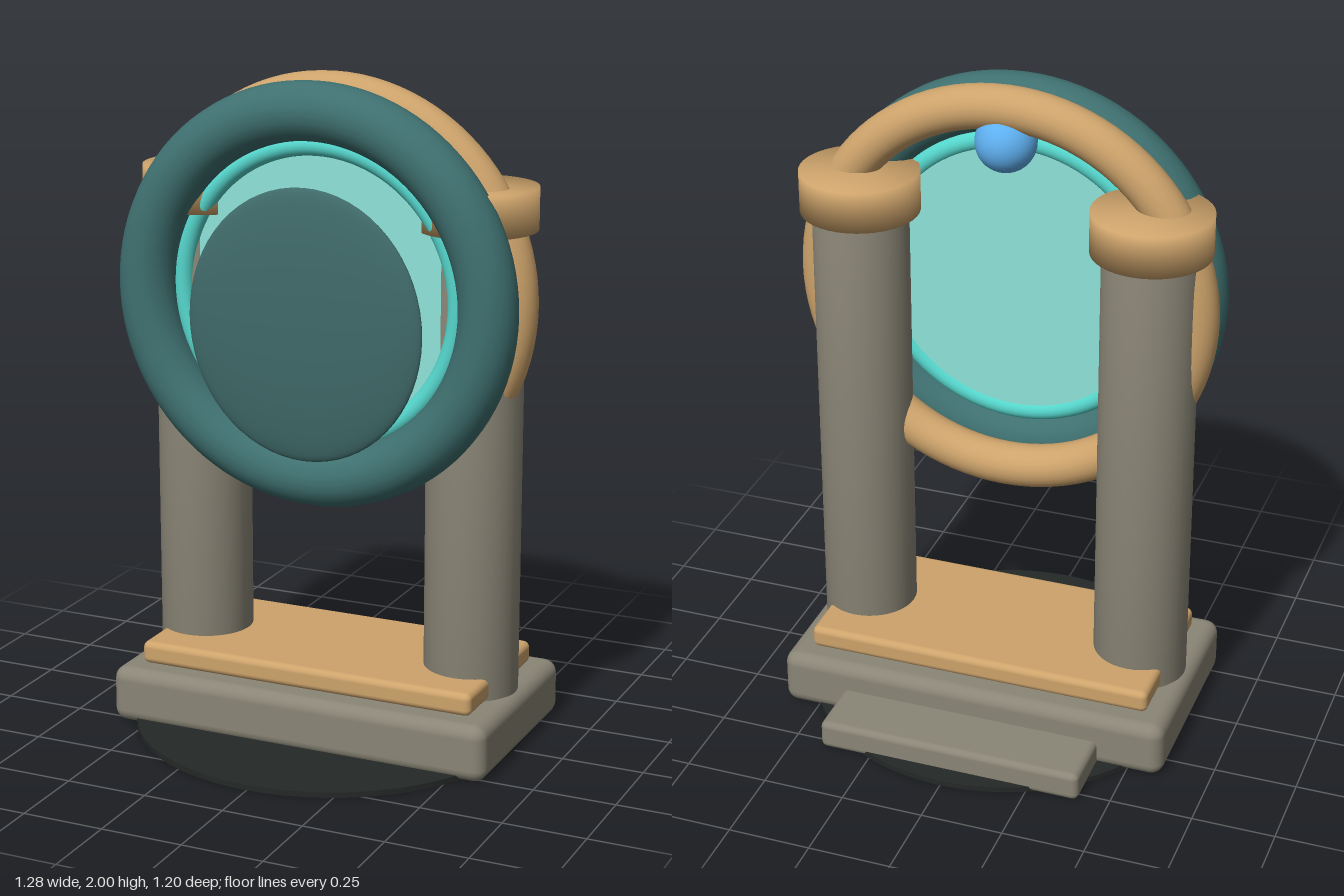
import * as THREE from 'three';
import { RoundedBoxGeometry } from 'three/addons/geometries/RoundedBoxGeometry.js';

const paint = (color) => new THREE.MeshStandardMaterial({ color });
const stone = paint(0x8a8576);
const brass = paint(0xcda36b);
const teal = paint(0x3f7070);
const turquoise = paint(0x55d6cc);
const paleGlass = paint(0x8fe3da);
const darkGlass = paint(0x3f6a69);
const blue = paint(0x5fb0f0);
const black = paint(0x242826);

export function createModel() {
  const model = new THREE.Group();
  model.name = 'ringPortal';

  const add = (name, geometry, material, x = 0, y = 0, z = 0) => {
    const mesh = new THREE.Mesh(geometry, material);
    mesh.name = name;
    mesh.position.set(x, y, z);
    model.add(mesh);
    return mesh;
  };

  // Rounded slab given by its extents
  const slab = (name, material, halfX, y0, y1, z0, z1, radius) =>
    add(name, new RoundedBoxGeometry(halfX * 2, y1 - y0, z1 - z0, 3, radius), material,
      0, (y0 + y1) / 2, (z0 + z1) / 2);

  // Solid round drum with softly shaded rims
  const drum = (radius, height) => new THREE.LatheGeometry([
    new THREE.Vector2(0, 0), new THREE.Vector2(radius, 0),
    new THREE.Vector2(radius, height), new THREE.Vector2(0, height),
  ], 40);

  // Ground disc, plinth, rear step and floor plate
  add('groundDisc', new THREE.CylinderGeometry(0.6, 0.6, 0.017, 64), black, 0, 0.0105, 0);
  slab('plinth', stone, 0.61, 0, 0.175, -0.355, 0.295, 0.04);
  slab('rearStep', stone, 0.41, 0, 0.09, -0.54, -0.3, 0.02);
  slab('floorPlate', brass, 0.54, 0.175, 0.245, -0.285, 0.225, 0.02);

  // Paired pillars with capitals
  for (const side of [-1, 1]) {
    const name = side > 0 ? 'left' : 'right';
    add(name + 'Pillar', drum(0.1425, 1.45), stone, side * 0.4425, 0.15, -0.03);
    add(name + 'Capital', drum(0.177, 0.125), brass, side * 0.443, 1.57, -0.03);
  }

  // Concentric rings
  const cy = 1.36;
  const ring = (name, major, minor, z, material) =>
    add(name, new THREE.TorusGeometry(major, minor, 24, 96), material, 0, cy, z);
  ring('rearRing', 0.575, 0.065, -0.003, brass);
  ring('frontRing', 0.542, 0.087, 0.13, teal);
  ring('innerRing', 0.438, 0.03, 0.1, turquoise);

  // Glass pane inside the rings
  const pane = add('glassPane', new THREE.CylinderGeometry(0.43, 0.43, 0.02, 72), paleGlass, 0, cy, 0.09);
  pane.rotation.x = Math.PI / 2;

  // Shallow oval lens in front of the pane
  const lens = add('frontLens', new THREE.SphereGeometry(1, 64, 32), darkGlass, 0, 1.287, 0.2);
  lens.scale.set(0.37, 0.405, 0.043);

  // Gem at the back of the crown
  add('crownGem', new THREE.SphereGeometry(0.09, 32, 20), blue, 0, 1.835, -0.008);

  return model;
}
